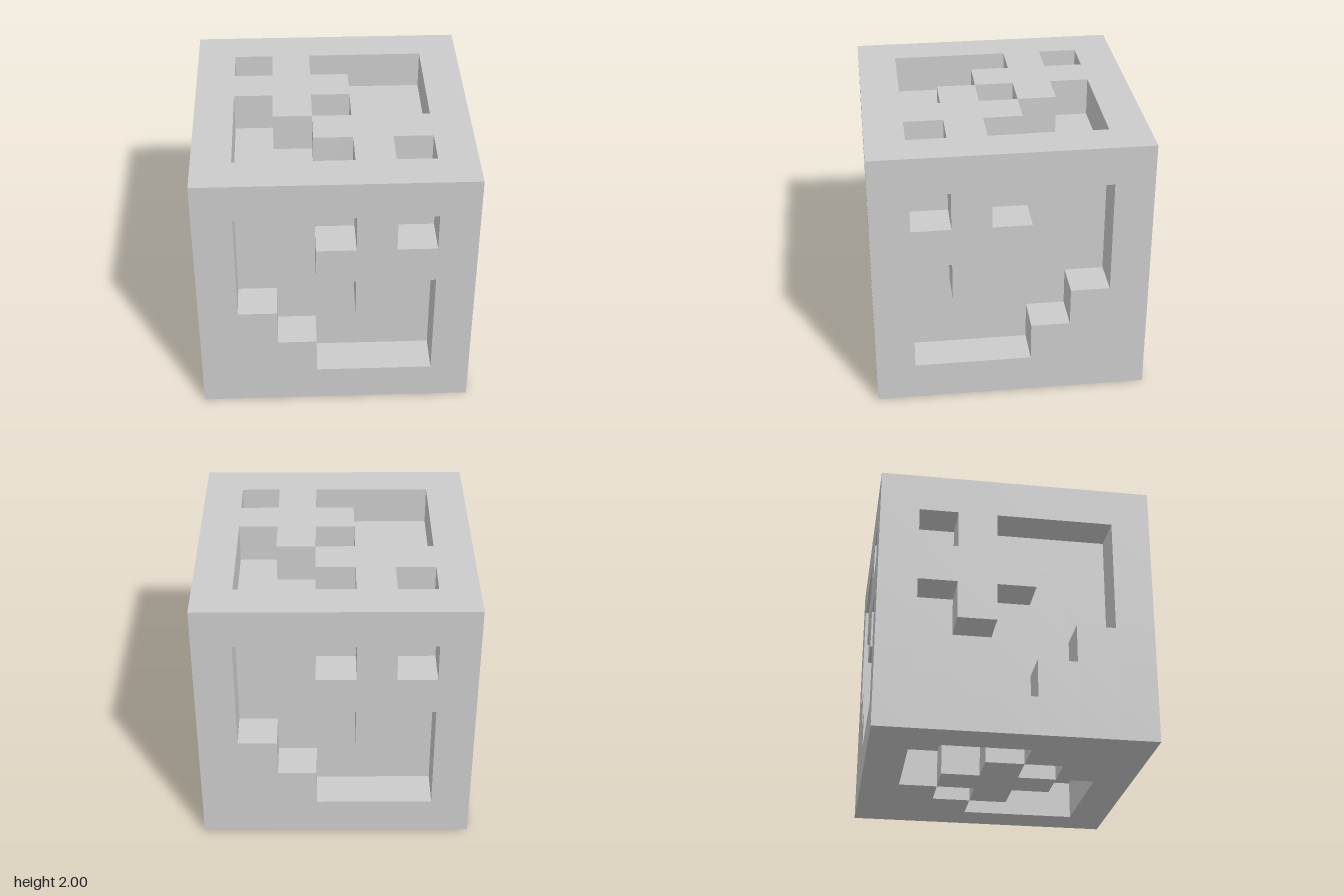
import * as THREE from 'three';

const N = 7;
const CELL = 2 / N;

// Raised cells inside the rim of each panel: '#' is solid, '.' is recessed.
const SIDE = ['...#.', '..###', '...#.', '#....', '##...']; // rows from the top down
const TOP = ['.#...', '###..', '.#.#.', '..###', '...#.']; // rows from back to front
const BOTTOM = ['...##', '..#.#', '.###.', '#.#..', '##...']; // rows from back to front

const inner = (i) => i > 0 && i < N - 1;
const raised = (pattern, row, col) => pattern[row - 1][col - 1] === '#';

// Solid 5x5x5 core, full rim along all edges, patterned panels one cell thick
function isSolid([x, y, z]) {
  if ([x, y, z].some((i) => i < 0 || i >= N)) return false;
  if ([x, y, z].filter(inner).length !== 2) return true;
  if (z === 6) return raised(SIDE, 6 - y, x);
  if (z === 0) return raised(SIDE, 6 - y, 6 - x);
  if (x === 6) return raised(SIDE, 6 - y, z);
  if (x === 0) return raised(SIDE, 6 - y, 6 - z);
  return raised(y === 6 ? TOP : BOTTOM, z, x);
}

function partName([x, y, z]) {
  const count = [x, y, z].filter(inner).length;
  if (count === 3) return 'core';
  if (count < 2) return 'frame';
  if (z === 6) return 'frontPanel';
  if (z === 0) return 'backPanel';
  if (x === 6) return 'leftPanel';
  if (x === 0) return 'rightPanel';
  return y === 6 ? 'topPanel' : 'bottomPanel';
}

// Adds the outward square of a cell on one side of one axis
function addSquare(positions, cell, axis, side) {
  const u = (axis + 1) % 3;
  const v = (axis + 2) % 3;
  const corners = [[0, 0], [1, 0], [1, 1], [0, 1]].map(([a, b]) => {
    const p = [...cell];
    p[axis] += side > 0 ? 1 : 0;
    p[u] += a;
    p[v] += b;
    return [p[0] * CELL - 1, p[1] * CELL, p[2] * CELL - 1];
  });
  if (side < 0) corners.reverse();
  for (const k of [0, 1, 2, 0, 2, 3]) positions.push(...corners[k]);
}

export function createModel() {
  const group = new THREE.Group();
  group.name = 'patternedCube';
  const material = new THREE.MeshStandardMaterial({ color: 0xcccccc, flatShading: true });
  const parts = {};

  // Only cell sides that meet empty space become surface
  for (let x = 0; x < N; x++)
    for (let y = 0; y < N; y++)
      for (let z = 0; z < N; z++) {
        const cell = [x, y, z];
        if (!isSolid(cell)) continue;
        const positions = (parts[partName(cell)] ??= []);
        for (let axis = 0; axis < 3; axis++)
          for (const side of [-1, 1]) {
            const next = [...cell];
            next[axis] += side;
            if (!isSolid(next)) addSquare(positions, cell, axis, side);
          }
      }

  for (const [name, positions] of Object.entries(parts)) {
    const geometry = new THREE.BufferGeometry();
    geometry.setAttribute('position', new THREE.Float32BufferAttribute(positions, 3));
    geometry.computeVertexNormals();
    const mesh = new THREE.Mesh(geometry, material);
    mesh.name = name;
    group.add(mesh);
  }
  return group;
}
